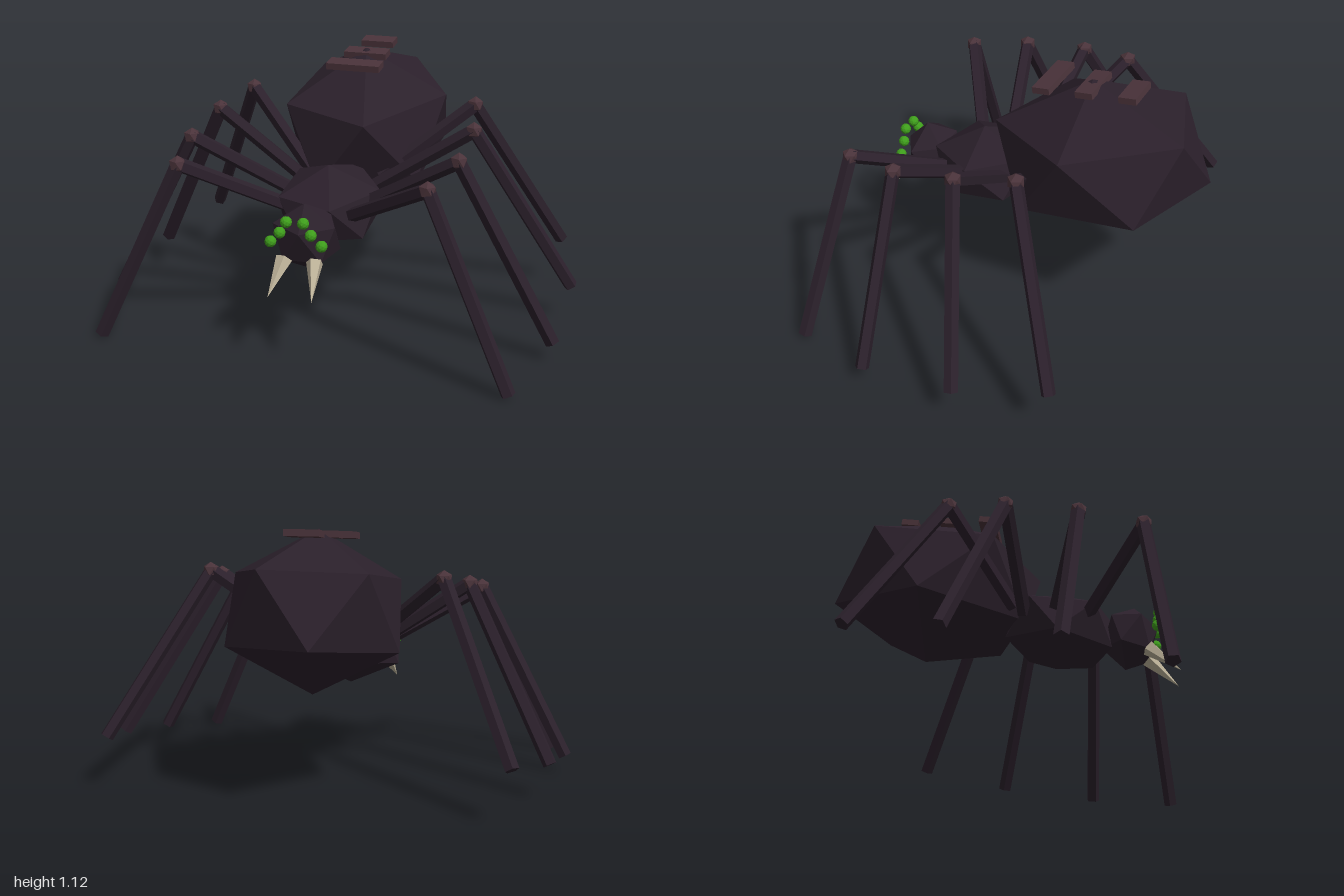
import * as THREE from 'three';
import { ConvexGeometry } from 'three/addons/geometries/ConvexGeometry.js';

const mat = (name, color) => {
  const m = new THREE.MeshStandardMaterial({ color, flatShading: true });
  m.name = name;
  return m;
};

const V = (p) => new THREE.Vector3(...p);
const UP = new THREE.Vector3(0, 1, 0);

// 20-sided ball with a corner at the top; spin (degrees) turns its ring of corners
function facetedBall(rx, ry, rz, spin) {
  const pts = [];
  const add = (x, y, z) => pts.push(new THREE.Vector3(x * rx, y * ry, z * rz), new THREE.Vector3(-x * rx, -y * ry, -z * rz));
  add(0, 1, 0);
  for (let k = 0; k < 5; k++) {
    const a = THREE.MathUtils.degToRad(spin + 72 * k);
    add(0.8944 * Math.cos(a), 0.4472, 0.8944 * Math.sin(a));
  }
  return new ConvexGeometry(pts);
}

export function createModel() {
  const group = new THREE.Group();
  group.name = 'spider';
  const dark = mat('dark purple', 0x2b202b);
  const brown = mat('reddish brown', 0x4a333a);
  const green = mat('eye green', 0x3f9e1c);
  const bone = mat('bone', 0xbdb299);

  const add = (parent, name, geometry, material, pos) => {
    const mesh = new THREE.Mesh(geometry, material);
    mesh.name = name;
    mesh.position.set(...pos);
    parent.add(mesh);
    return mesh;
  };

  // straight rod or spike from a to b
  const rod = (parent, name, a, b, rBase, rTip, sides, material) => {
    const p = V(a), q = V(b), d = q.clone().sub(p);
    const mesh = add(parent, name, new THREE.CylinderGeometry(rTip, rBase, d.length(), sides), material,
      p.add(q).multiplyScalar(0.5).toArray());
    mesh.quaternion.setFromUnitVectors(UP, d.normalize());
    return mesh;
  };

  // body, each part tipped a little forward
  add(group, 'abdomen', facetedBall(0.405, 0.341, 0.5, 2.5), dark, [0.008, 0.783, -0.302]).rotation.x = 0.153;
  add(group, 'thorax', facetedBall(0.245, 0.174, 0.27, 0), dark, [-0.01, 0.557, 0.24]).rotation.x = 0.14;
  add(group, 'head', facetedBall(0.15, 0.147, 0.125, 16), dark, [-0.018, 0.512, 0.535]).rotation.x = 0.17;

  // plates floating above the abdomen, narrower to the back
  [[0.005, 1.08, -0.073, 0.235], [0.01, 1.097, -0.253, 0.19], [0.018, 1.115, -0.434, 0.148]].forEach(([x, y, z, w]) => {
    add(group, 'backStripe', new THREE.BoxGeometry(w, 0.028, 0.077), brown, [x, y, z]).rotation.set(0.15, -0.03, 0);
  });

  // three eyes each side in an arch
  const middle = -0.025;
  for (const s of [-1, 1]) {
    [[0.035, 0.61, 0.662], [0.064, 0.562, 0.657], [0.105, 0.519, 0.65]].forEach(([x, y, z]) => {
      add(group, 'eye', new THREE.IcosahedronGeometry(0.024, 1), green, [middle + s * x, y, z]);
    });
    rod(group, 'fang', [middle + s * 0.064, 0.435, 0.61], [middle + s * 0.09, 0.318, 0.738], 0.035, 0, 5, bone);
  }

  // legs: hip, knee, foot
  const legs = [
    ['leftLeg', [0.13, 0.57, 0.40], [0.49, 0.78, 0.63], [0.838, 0.025, 0.72]],
    ['leftLeg', [0.14, 0.58, 0.27], [0.558, 0.826, 0.38], [0.955, 0.09, 0.35]],
    ['leftLeg', [0.12, 0.59, 0.11], [0.563, 0.877, 0.10], [0.975, 0.165, -0.085]],
    ['leftLeg', [0.14, 0.62, 0.01], [0.52, 0.922, -0.155], [0.885, 0.237, -0.47]],
    ['rightLeg', [-0.16, 0.57, 0.355], [-0.537, 0.783, 0.595], [-0.892, 0.025, 0.652]],
    ['rightLeg', [-0.16, 0.58, 0.215], [-0.585, 0.826, 0.335], [-0.98, 0.09, 0.268]],
    ['rightLeg', [-0.15, 0.59, 0.085], [-0.574, 0.877, 0.04], [-0.952, 0.165, -0.165]],
    ['rightLeg', [-0.15, 0.62, 0.04], [-0.505, 0.922, -0.2], [-0.838, 0.237, -0.54]],
  ];
  for (const [name, hip, knee, foot] of legs) {
    const leg = new THREE.Group();
    leg.name = name;
    rod(leg, 'upperLeg', hip, knee, 0.031, 0.031, 5, dark);
    rod(leg, 'lowerLeg', knee, foot, 0.03, 0.03, 5, dark);
    add(leg, 'knee', facetedBall(0.037, 0.037, 0.037, 10), brown, knee);
    group.add(leg);
  }
  return group;
}
